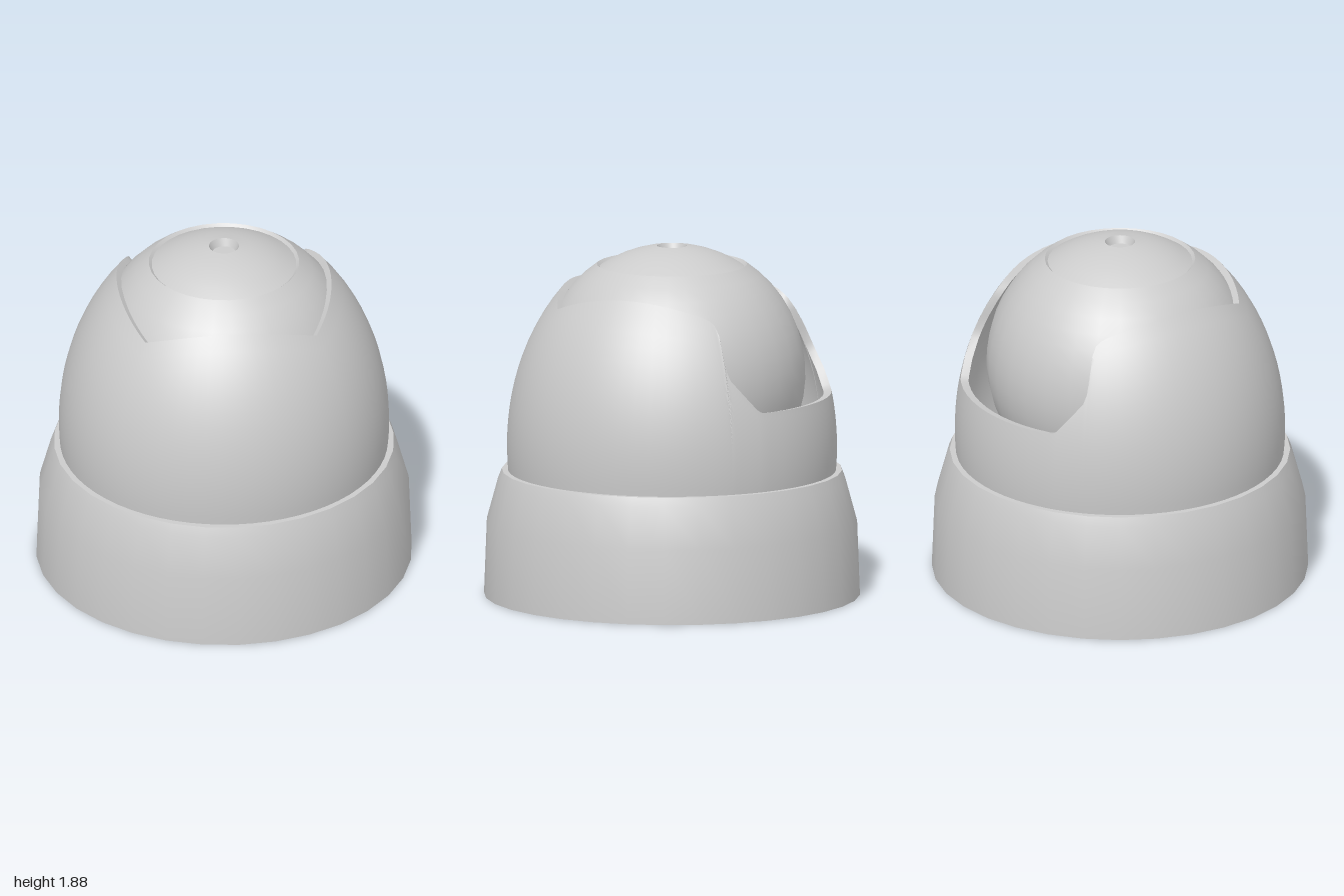
import * as THREE from 'three';
import { toCreasedNormals } from 'three/addons/utils/BufferGeometryUtils.js';

const SEGMENTS = 32;
const CREASE = Math.PI / 6;
const material = new THREE.MeshStandardMaterial({ color: 0xcccccc });

function part(name, geometry) {
  const mesh = new THREE.Mesh(toCreasedNormals(geometry, CREASE), material);
  mesh.name = name;
  return mesh;
}

function lathe(name, points) {
  return part(name, new THREE.LatheGeometry(points.map(([r, y]) => new THREE.Vector2(r, y)), SEGMENTS));
}

// Points along a circular arc about the axis, from polar angle a to b (0 = top)
function arc(radius, centerY, a, b, steps) {
  return Array.from({ length: steps + 1 }, (_, i) => {
    const t = a + (b - a) * i / steps;
    return [radius * Math.sin(t), centerY + radius * Math.cos(t)];
  });
}

// Shell: an ellipse profile whose upper edge varies with the angle from the front
const SHELL_BOTTOM = 0.64, SHELL_MID = 0.8, SHELL_R = 0.878, SHELL_H = 1.137;

function shellPoint(y, depth) {
  const s = (y - SHELL_MID) / SHELL_H;
  const r = SHELL_R * Math.sqrt(1 - s * s);
  const normal = new THREE.Vector2(r / SHELL_R ** 2, (y - SHELL_MID) / SHELL_H ** 2).normalize();
  return [r - normal.x * depth, y - normal.y * depth];
}

function shellColumns() {
  const half = [];
  // front and side openings arch between the corners at 45 degrees
  for (let a = 0; a <= 130.5; a += 5.625) {
    const fromMiddle = ((a + 45) % 90) - 45;
    half.push([a, 1.665 - 0.095 * (fromMiddle / 45) ** 2]);
  }
  // deep notch at the back
  half.push([133, 1.572], [135, 1.55], [136.2, 1.5], [136.5, 1.4], [136.8, 1.32], [138, 1.27],
    [143, 1.185], [147.5, 1.11], [149, 1.095], [151, 1.09]);
  for (let a = 157.5; a <= 180; a += 5.625) half.push([a, 1.09]);
  const mirrored = half.slice(1).reverse().map(([a, y]) => [-a, y]);
  return [...mirrored, ...half];
}

function shellGeometry() {
  const ROWS = 14;
  const positions = [], index = [];
  const columns = shellColumns();
  const ring = 2 * (ROWS + 1);
  for (const [degrees, top] of columns) {
    const a = THREE.MathUtils.degToRad(degrees);
    const section = [];
    for (let i = 0; i <= ROWS; i++) {
      section.push(shellPoint(SHELL_BOTTOM + (top - SHELL_BOTTOM) * i / ROWS, 0));
    }
    for (let i = ROWS; i >= 0; i--) {
      const y = SHELL_BOTTOM + (top - SHELL_BOTTOM) * i / ROWS;
      section.push(shellPoint(y, THREE.MathUtils.mapLinear(y, SHELL_BOTTOM, 1.665, 0.05, 0.035)));
    }
    for (const [r, y] of section) positions.push(r * Math.sin(a), y, r * Math.cos(a));
  }
  for (let c = 0; c < columns.length - 1; c++) {
    for (let i = 0; i < ring; i++) {
      const a = c * ring + i, d = c * ring + (i + 1) % ring;
      const b = a + ring, e = d + ring;
      index.push(a, b, d, e, d, b);
    }
  }
  const geometry = new THREE.BufferGeometry();
  geometry.setAttribute('position', new THREE.Float32BufferAttribute(positions, 3));
  geometry.setIndex(index);
  return geometry;
}

export function createModel() {
  const model = new THREE.Group();
  model.name = 'domeHousing';

  // Hollow base collar with an inward lip that holds the shell
  model.add(lathe('baseCollar', [
    [0.94, 0], [1, 0], [0.985, 0.4], [0.925, 0.62], [0.905, 0.67], [0.865, 0.67],
    [0.865, 0.64], [0.9, 0.61], [0.925, 0.4], [0.94, 0],
  ]));

  // Outer shell with its opening
  model.add(part('outerShell', shellGeometry()));

  // Inner ball with an inset crown and a small recess on top
  const centerY = 1.19;
  model.add(lathe('innerBall', [
    ...arc(0.71, centerY, Math.PI, Math.asin(0.4 / 0.71), 20),
    ...arc(0.69, centerY, Math.asin(0.385 / 0.69), Math.asin(0.08 / 0.69), 5),
    [0.062, 1.835], [0, 1.835],
  ]));

  return model;
}
